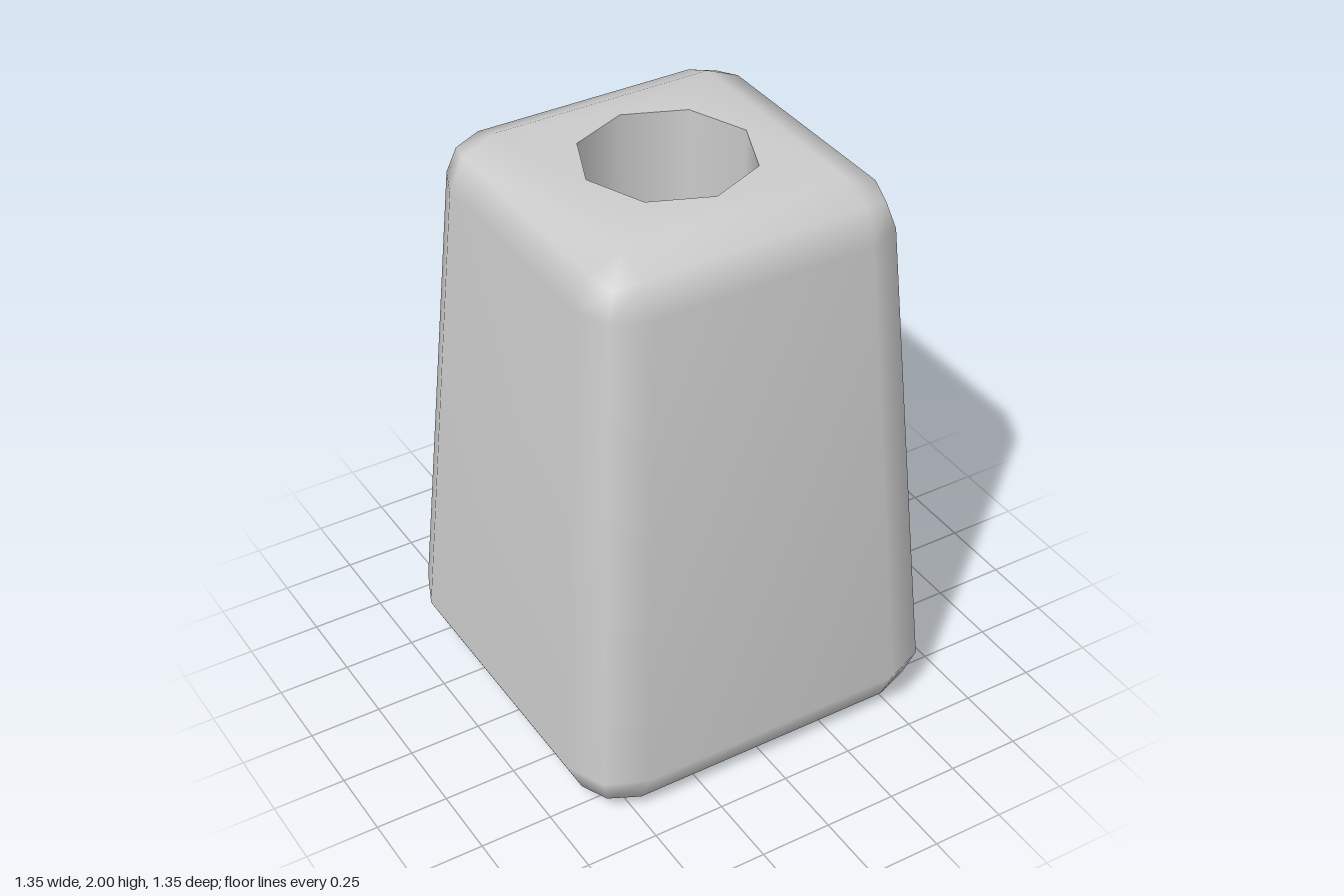
import * as THREE from 'three';
import { mergeVertices } from 'three/addons/utils/BufferGeometryUtils.js';

const HOLE_RADIUS = 0.285;
const HOLE_FLOOR = 0.3;

// Rings from bottom to top: a = half width, b = where the corner rounding starts,
// m = diagonal corner point, y = height, my = height of the diagonal point.
const RINGS = [
  { a: 0.475, b: 0.475, m: 0.475, y: 0, my: 0 },
  { a: 0.617, b: 0.475, m: 0.585, y: 0.05, my: 0.07 },
  { a: 0.675, b: 0.475, m: 0.615, y: 0.17, my: 0.17 },
  { a: 0.552, b: 0.387, m: 0.503, y: 1.84, my: 1.84 },
  { a: 0.503, b: 0.387, m: 0.478, y: 1.95, my: 1.932 },
  { a: 0.387, b: 0.387, m: 0.387, y: 2, my: 2 },
];

// Twelve points around the rounded square, counter-clockwise seen from above
function ringPoints({ a, b, m, y, my }) {
  const points = [];
  for (let corner = 0; corner < 4; corner++) {
    const turn = (corner * Math.PI) / 2;
    for (const [x, h, z] of [[a, y, -b], [m, my, -m], [b, y, -a]]) {
      points.push(new THREE.Vector3(x, h, z).applyAxisAngle(new THREE.Vector3(0, 1, 0), turn));
    }
  }
  return points;
}

// Tapered shell with softened edges, closed below and pierced above
function bodyGeometry() {
  const positions = [];
  const addTriangle = (...corners) => corners.forEach((p) => positions.push(p.x, p.y, p.z));
  const rings = RINGS.map(ringPoints);

  // Sides and rounded edges
  for (let r = 0; r < rings.length - 1; r++) {
    const low = rings[r], high = rings[r + 1];
    for (let i = 0; i < 12; i++) {
      const j = (i + 1) % 12;
      addTriangle(low[i], low[j], high[j]);
      addTriangle(low[i], high[j], high[i]);
    }
  }

  // Underside
  const base = [0, 3, 6, 9].map((i) => rings[0][i]);
  addTriangle(base[0], base[2], base[1]);
  addTriangle(base[0], base[3], base[2]);

  // Top face around the octagonal opening
  const half = RINGS[RINGS.length - 1].b;
  const outline = [[1, 1], [-1, 1], [-1, -1], [1, -1]].map(([x, y]) => new THREE.Vector2(x * half, y * half));
  const opening = [];
  for (let i = 0; i < 8; i++) {
    const angle = (-i * Math.PI) / 4;
    opening.push(new THREE.Vector2(Math.cos(angle), Math.sin(angle)).multiplyScalar(HOLE_RADIUS));
  }
  const flat = [...outline, ...opening].map((p) => new THREE.Vector3(p.x, 2, -p.y));
  for (const [i, j, k] of THREE.ShapeUtils.triangulateShape(outline, [opening])) {
    addTriangle(flat[i], flat[j], flat[k]);
  }

  const geometry = new THREE.BufferGeometry();
  geometry.setAttribute('position', new THREE.Float32BufferAttribute(positions, 3));
  const merged = mergeVertices(geometry, 1e-4);
  merged.computeVertexNormals();
  return merged;
}

export function createModel() {
  const group = new THREE.Group();
  group.name = 'taperedHolder';
  const grey = new THREE.MeshStandardMaterial({ color: 0xcccccc });
  grey.name = 'light grey';

  const add = (name, geometry) => {
    const mesh = new THREE.Mesh(geometry, grey);
    mesh.name = name;
    group.add(mesh);
    return mesh;
  };

  add('body', bodyGeometry());

  // Octagonal well, profile runs downward so the wall faces inward
  const wall = [new THREE.Vector2(HOLE_RADIUS, 2), new THREE.Vector2(HOLE_RADIUS, HOLE_FLOOR)];
  add('wellWall', new THREE.LatheGeometry(wall, 8));

  const floor = add('wellFloor', new THREE.CircleGeometry(HOLE_RADIUS, 8));
  floor.rotation.x = -Math.PI / 2;
  floor.position.y = HOLE_FLOOR;

  return group;
}
